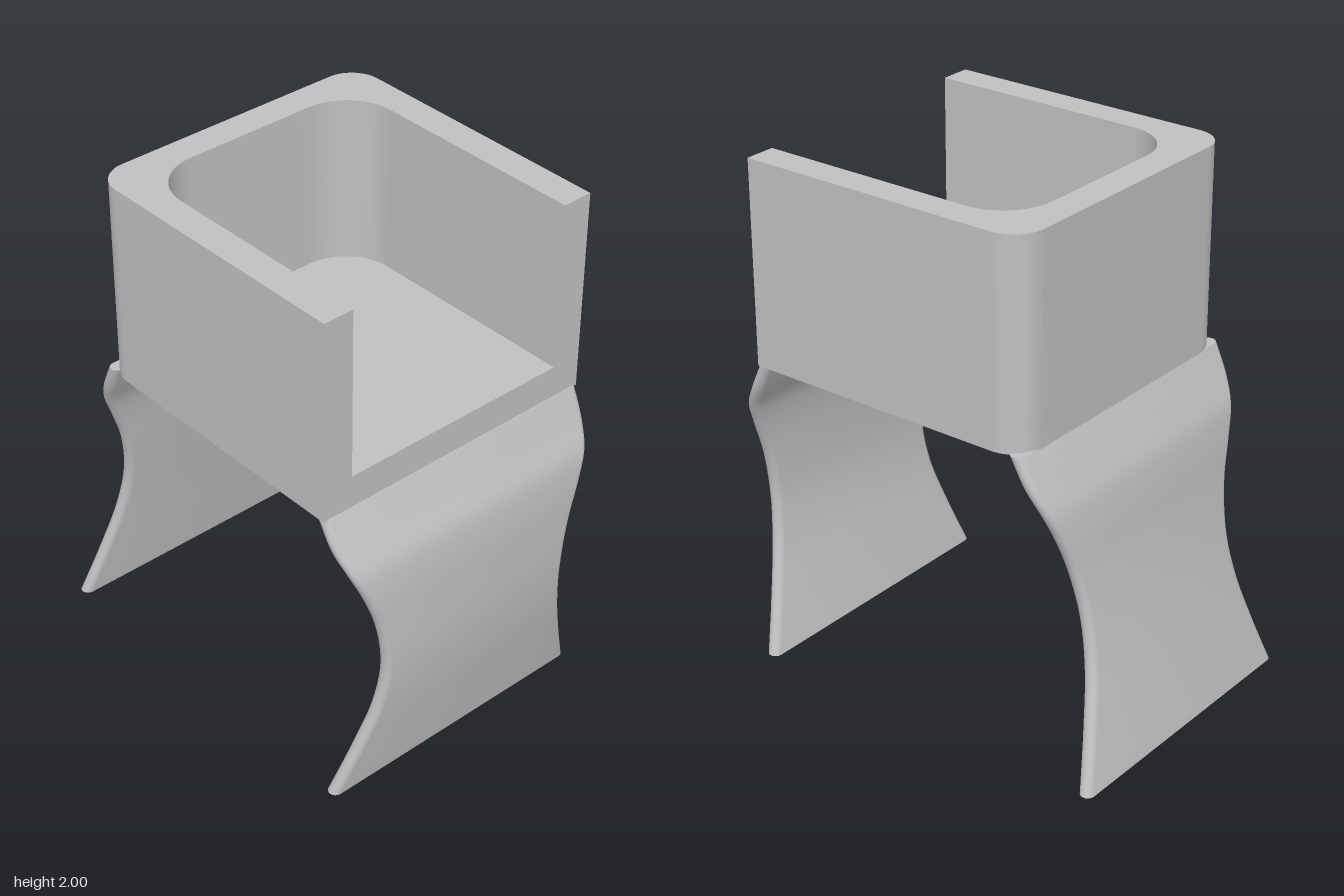
import * as THREE from 'three';
import { toCreasedNormals } from 'three/addons/utils/BufferGeometryUtils.js';

const grey = new THREE.MeshStandardMaterial({ color: 0xc0c0c0 });
grey.name = 'light grey';

const FRONT = 0.66, BACK = -0.51, W = 0.585, IN_W = 0.465, IN_BACK = -0.39;

// Traces left side, rounded back and right side (shape y is -z)
function traceU(path, w, back, r) {
  path.lineTo(w, back * -1 - r);
  path.absarc(w - r, -back - r, r, 0, Math.PI / 2, false);
  path.lineTo(-w + r, -back);
  path.absarc(-w + r, -back - r, r, Math.PI / 2, Math.PI, false);
  path.lineTo(-w, -FRONT);
}

function slab(shape, name, y0, y1) {
  const geo = new THREE.ExtrudeGeometry(shape, { depth: y1 - y0, bevelEnabled: false, curveSegments: 12 });
  geo.rotateX(-Math.PI / 2).translate(0, y0, 0);
  const mesh = new THREE.Mesh(toCreasedNormals(geo, 0.6), grey);
  mesh.name = name;
  return mesh;
}

// Curved plate with rounded edges, swept through [halfWidth, y, z] stations
function leg(stations, name) {
  const curve = new THREE.CatmullRomCurve3(stations.map((p) => new THREE.Vector3(...p)));
  const rows = 48, half = 8, n = 2 * (half + 1), r = 0.027;
  const pos = [], index = [];
  for (let i = 0; i <= rows; i++) {
    const p = curve.getPoint(i / rows);
    for (let j = 0; j < n; j++) {
      const side = j <= half ? 1 : -1;
      const a = -Math.PI / 2 + (Math.PI * (j <= half ? j : j - 1)) / half;
      pos.push(side * (p.x - r) + r * Math.cos(a), p.y, p.z + r * Math.sin(a));
    }
  }
  for (let i = 0; i < rows; i++) {
    for (let j = 0; j < n; j++) {
      const a = i * n + j, b = i * n + ((j + 1) % n);
      index.push(a, a + n, b, b, a + n, b + n);
    }
  }
  // End caps
  const top = rows * n;
  for (let j = 1; j < n - 1; j++) {
    index.push(0, j, j + 1, top, top + j + 1, top + j);
  }
  const geo = new THREE.BufferGeometry();
  geo.setAttribute('position', new THREE.Float32BufferAttribute(pos, 3));
  geo.setIndex(index);
  const mesh = new THREE.Mesh(toCreasedNormals(geo, 0.7), grey);
  mesh.name = name;
  return mesh;
}

export function createModel() {
  const group = new THREE.Group();
  group.name = 'armchair';

  // Seat base
  const base = new THREE.Shape();
  base.moveTo(W, -FRONT);
  traceU(base, W, BACK, 0.12);
  group.add(slab(base, 'seatBase', 1.22, 1.35));

  // U-shaped arms and back
  const wall = new THREE.Shape();
  wall.moveTo(W, -FRONT);
  traceU(wall, W, BACK, 0.12);
  const inner = new THREE.Path();
  inner.moveTo(IN_W, -FRONT);
  traceU(inner, IN_W, IN_BACK, 0.2);
  inner.getPoints(12).reverse().forEach((p) => wall.lineTo(p.x, p.y));
  group.add(slab(wall, 'armsAndBack', 1.35, 2));

  // Waisted legs: shared width profile, separate bends
  const profile = [[0.577, 0], [0.505, 0.2], [0.445, 0.4], [0.425, 0.58], [0.452, 0.77],
    [0.505, 0.92], [0.548, 1.02], [0.576, 1.11], [0.585, 1.225]];
  const frontZ = [0.68, 0.722, 0.76, 0.778, 0.776, 0.765, 0.743, 0.695, 0.637];
  const backZ = [-0.78, -0.738, -0.697, -0.661, -0.627, -0.604, -0.58, -0.537, -0.48];
  const bend = (zs) => profile.map(([w, y], i) => [w, y, zs[i]]);
  group.add(leg(bend(frontZ), 'frontLeg'));
  group.add(leg(bend(backZ), 'backLeg'));

  return group;
}
